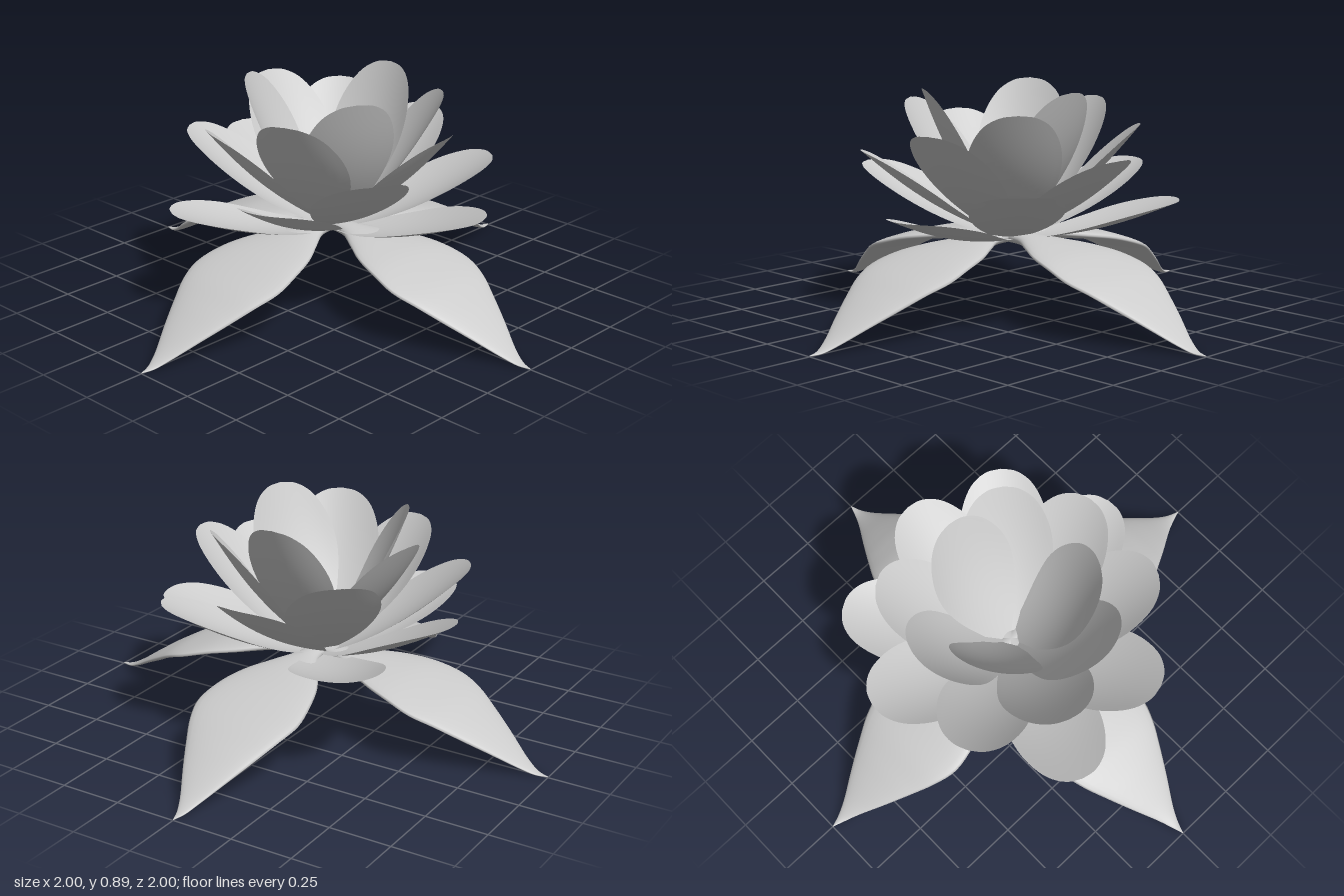
import * as THREE from 'three';
import { mergeVertices } from 'three/addons/utils/BufferGeometryUtils.js';

// Smooth surface from a rule fn(u, v) -> [x, y, z]; faces look along du x dv.
function surface(fn, nu, nv) {
  const pos = [], index = [];
  for (let j = 0; j <= nv; j++)
    for (let i = 0; i <= nu; i++) pos.push(...fn(i / nu, j / nv));
  for (let j = 0; j < nv; j++)
    for (let i = 0; i < nu; i++) {
      const a = j * (nu + 1) + i, b = a + nu + 1;
      index.push(a, a + 1, b + 1, a, b + 1, b);
    }
  let geo = new THREE.BufferGeometry();
  geo.setAttribute('position', new THREE.Float32BufferAttribute(pos, 3));
  geo.setIndex(index);
  geo = mergeVertices(geo, 1e-5);
  geo.computeVertexNormals();
  return geo;
}

const curve = (pts) => new THREE.CatmullRomCurve3(pts.map((p) => new THREE.Vector3(...p)));

// Petal: rounded ovate outline (half width, distance), slightly cupped.
function petalGeometry() {
  const outline = curve([
    [0.03, 0, 0], [0.1, 0, 0.14], [0.155, 0, 0.28], [0.18, 0, 0.41], [0.166, 0, 0.53],
    [0.12, 0, 0.63], [0.06, 0, 0.678], [0, 0, 0.69],
  ]);
  return surface((u, v) => {
    const p = outline.getPoint(v), s = 2 * u - 1;
    const sag = -0.035 * Math.sin(Math.PI * Math.min(1, p.z / 0.69));
    return [p.x * s, sag + 1.2 * p.x * p.x * s * s, p.z];
  }, 14, 32);
}

// Leaf: drooping lens-shaped blade; points are (half width, height, distance).
function leafGeometry() {
  const path = curve([
    [0.035, 0.31, 0], [0.05, 0.308, 0.1], [0.11, 0.3, 0.2], [0.17, 0.287, 0.3],
    [0.208, 0.268, 0.41], [0.225, 0.236, 0.52], [0.2, 0.203, 0.61], [0.155, 0.155, 0.7],
    [0.1, 0.098, 0.8], [0.042, 0.038, 0.9], [0.017, 0.014, 0.955], [0.001, 0.01, 1],
  ]);
  return surface((u, v) => {
    const p = path.getPoint(v), a = u * Math.PI * 2;
    const half = 0.025 * Math.min(1, (1.02 - p.z) / 0.3);
    return [p.x * Math.cos(a), p.y + half * Math.sin(a), p.z];
  }, 24, 44);
}

export function createModel() {
  const model = new THREE.Group();
  model.name = 'lotusFlower';
  const mat = new THREE.MeshStandardMaterial({ color: 0xcccccc, side: THREE.DoubleSide });

  // Four leaves arching down to the ground
  const leaves = new THREE.Group();
  leaves.name = 'leaves';
  const leafGeo = leafGeometry();
  for (let i = 0; i < 4; i++) {
    const leaf = new THREE.Mesh(leafGeo, mat);
    leaf.name = 'leaf';
    leaf.rotation.y = (i * Math.PI) / 2;
    leaves.add(leaf);
  }
  model.add(leaves);

  // Six whorls of three petals, each opened further and turned by 40 degrees
  const petalGeo = petalGeometry();
  for (let layer = 0; layer < 6; layer++) {
    const whorl = new THREE.Group();
    whorl.name = 'petalWhorl';
    whorl.position.y = 0.3;
    for (let i = 0; i < 3; i++) {
      const petal = new THREE.Mesh(petalGeo, mat);
      petal.name = 'petal';
      petal.rotation.order = 'YXZ';
      petal.rotation.y = THREE.MathUtils.degToRad(60 + 120 * i - 40 * layer);
      petal.rotation.x = -THREE.MathUtils.degToRad(60.5 - 9.4 * layer);
      whorl.add(petal);
    }
    model.add(whorl);
  }
  return model;
}
